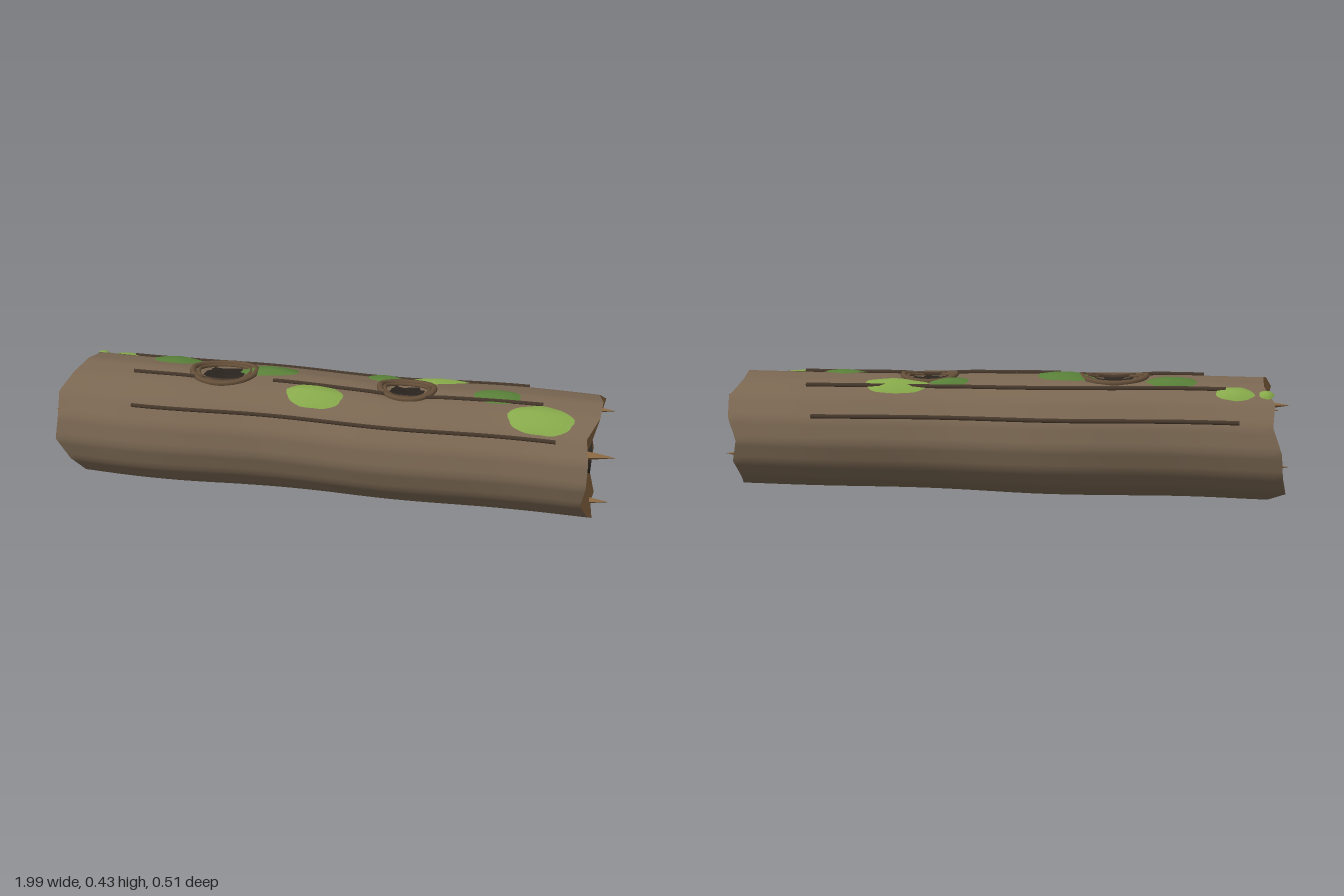
import * as THREE from 'three';

const mat = (color) => new THREE.MeshStandardMaterial({ color, roughness: 0.95, side: THREE.DoubleSide });
const TAU = Math.PI * 2, STEP = TAU / 16;

// ragged rim distance at 16 angles, starting at the front and going up over the top
const RIM = {
  right: [0.90, 0.90, 0.89, 0.93, 0.94, 0.93, 0.96, 0.95, 0.92, 0.94, 0.93, 0.95, 0.93, 0.94, 0.92, 0.89],
  left: [0.96, 0.95, 0.96, 0.93, 0.91, 0.90, 0.93, 0.92, 0.95, 0.96, 0.98, 0.93, 0.90, 0.90, 0.89, 0.92],
};
const KNOTS = [{ x: -0.39, rx: 0.115, rz: 0.088 }, { x: 0.27, rx: 0.095, rz: 0.078 }];

function rim(side, a) {
  const f = ((a / STEP) % 16 + 16) % 16, i = Math.floor(f);
  return THREE.MathUtils.lerp(RIM[side][i], RIM[side][(i + 1) % 16], f - i);
}

// point on the log at length x and angle a, lifted by off
function surface(x, a, off = 0) {
  const local = ((a % STEP) + STEP) % STEP - STEP / 2;
  const poly = Math.cos(STEP / 2) / Math.cos(local);
  const wave = 1 + 0.012 * Math.sin(5 * x + 2 * a);
  const z = -0.008 * Math.cos((x + 0.2) * 7.5) + (0.243 * poly * wave + off) * Math.cos(a);
  let y = 0.2 + ((0.213 - 0.007 * x) * poly * wave + off) * Math.sin(a);
  if (Math.sin(a) > 0) {
    for (const k of KNOTS) y -= 0.028 * Math.exp(-1.6 * (((x - k.x) / k.rx) ** 2 + (z / k.rz) ** 2));
  }
  return new THREE.Vector3(x, Math.max(0, y), z);
}
const angleAt = (z) => Math.acos(z / 0.243);

// grid of quads from a point rule; front faces along du x dv
function grid(nu, nv, point) {
  const pos = [], idx = [];
  for (let i = 0; i <= nu; i++) {
    for (let j = 0; j <= nv; j++) {
      pos.push(...point(i / nu, j / nv).toArray());
      if (i < nu && j < nv) {
        const p = i * (nv + 1) + j, q = p + nv + 1;
        idx.push(p, q, q + 1, p, q + 1, p + 1);
      }
    }
  }
  const g = new THREE.BufferGeometry();
  g.setAttribute('position', new THREE.Float32BufferAttribute(pos, 3));
  g.setIndex(idx);
  g.computeVertexNormals();
  return g;
}

// domed oval draped over the bark
function drape(x, z, rx, rz, height, ragged) {
  const a0 = angleAt(z);
  return grid(5, 28, (u, v) => {
    const t = v * TAU;
    const r = u * (1 + ragged * Math.sin(5 * t + x * 9) + ragged * 0.6 * Math.sin(9 * t));
    return surface(x + rx * r * Math.cos(t), a0 + rz * r * Math.sin(t) / 0.23, 0.002 + height * (1 - u * u));
  });
}

export function createModel() {
  const log = new THREE.Group();
  log.name = 'fallenLog';
  const bark = mat(0x7a6752), wood = mat(0x8a6843), dark = mat(0x2a241f), ridgeMat = mat(0x4a3b2e);
  const lip = mat(0x66503a), mossLight = mat(0x86a84a), mossDark = mat(0x587f38);
  const add = (name, geometry, material, parent = log) => {
    const m = new THREE.Mesh(geometry, material);
    m.name = name;
    parent.add(m);
    return m;
  };

  // bark shell
  add('barkShell', grid(60, 64, (u, v) => {
    const a = v * TAU - Math.PI / 2;
    return surface(THREE.MathUtils.lerp(-rim('left', a), rim('right', a), u), a);
  }), bark);

  // broken ends with heart hole and splinters
  const splinters = [[0.14, 0.27], [-0.09, 0.335], [-0.14, 0.13], [0.09, 0.072]];
  for (const [side, s] of [['right', 1], ['left', -1]]) {
    const end = new THREE.Group();
    end.name = side === 'right' ? 'leftEnd' : 'rightEnd';
    log.add(end);
    add('brokenWood', grid(4, 64, (u, v) => {
      const a = -s * v * TAU;
      const p = surface(s * rim(side, a), a);
      return new THREE.Vector3(s * 0.905, 0.2, 0.01).lerp(p, u);
    }), wood, end);

    const hole = add('heartHole', new THREE.CylinderGeometry(0.061, 0.061, 0.02, 16), dark, end);
    hole.rotation.z = Math.PI / 2;
    hole.position.set(s * 0.909, 0.202, 0.01);

    for (const [z, y] of splinters) {
      const cone = new THREE.ConeGeometry(0.017, 0.1, 4).toNonIndexed();
      cone.computeVertexNormals();
      const m = add('splinter', cone, wood, end);
      m.rotation.z = -s * Math.PI / 2;
      m.position.set(s * 0.943, y, z);
    }
  }

  // knot holes with raised lips
  for (const k of KNOTS) {
    add('knotHole', drape(k.x, 0, k.rx * 0.62, k.rz * 0.6, 0.003, 0.1), dark);
    for (const [scale, thick] of [[1, 0.011], [0.82, 0.007]]) {
      const pts = Array.from({ length: 24 }, (_, i) => {
        const t = i / 24 * TAU;
        return surface(k.x + k.rx * scale * Math.cos(t), angleAt(k.rz * scale * Math.sin(t)), 0.003);
      });
      add('knotLip', new THREE.TubeGeometry(new THREE.CatmullRomCurve3(pts, true), 48, thick, 6, true), lip);
    }
  }

  // long bark ridges: start, end, z
  for (const [x0, x1, z] of [[-0.68, 0.79, 0.188], [-0.71, -0.31, 0.058], [-0.2, 0.74, 0.058],
    [-0.77, 0.69, -0.12], [-0.81, 0.65, -0.219]]) {
    const pts = Array.from({ length: 25 }, (_, i) =>
      surface(THREE.MathUtils.lerp(x0, x1, i / 24), angleAt(z), 0.005));
    add('barkRidge', new THREE.TubeGeometry(new THREE.CatmullRomCurve3(pts), 48, 0.0075, 4), ridgeMat);
  }

  // moss patches: x, z, half length, half width, material
  for (const [x, z, rx, rz, m] of [
    [-0.8, -0.137, 0.065, 0.035, mossLight], [-0.905, -0.137, 0.025, 0.022, mossLight],
    [-0.59, -0.075, 0.088, 0.045, mossDark], [-0.23, -0.022, 0.11, 0.047, mossDark],
    [-0.04, 0.108, 0.1, 0.055, mossLight], [0.19, -0.08, 0.072, 0.038, mossDark],
    [0.37, -0.11, 0.112, 0.05, mossLight], [0.585, 0.028, 0.08, 0.042, mossDark],
    [0.735, 0.125, 0.11, 0.062, mossLight]]) {
    add('mossPatch', drape(x, z, rx, rz, 0.011, 0.03), m);
  }
  return log;
}
